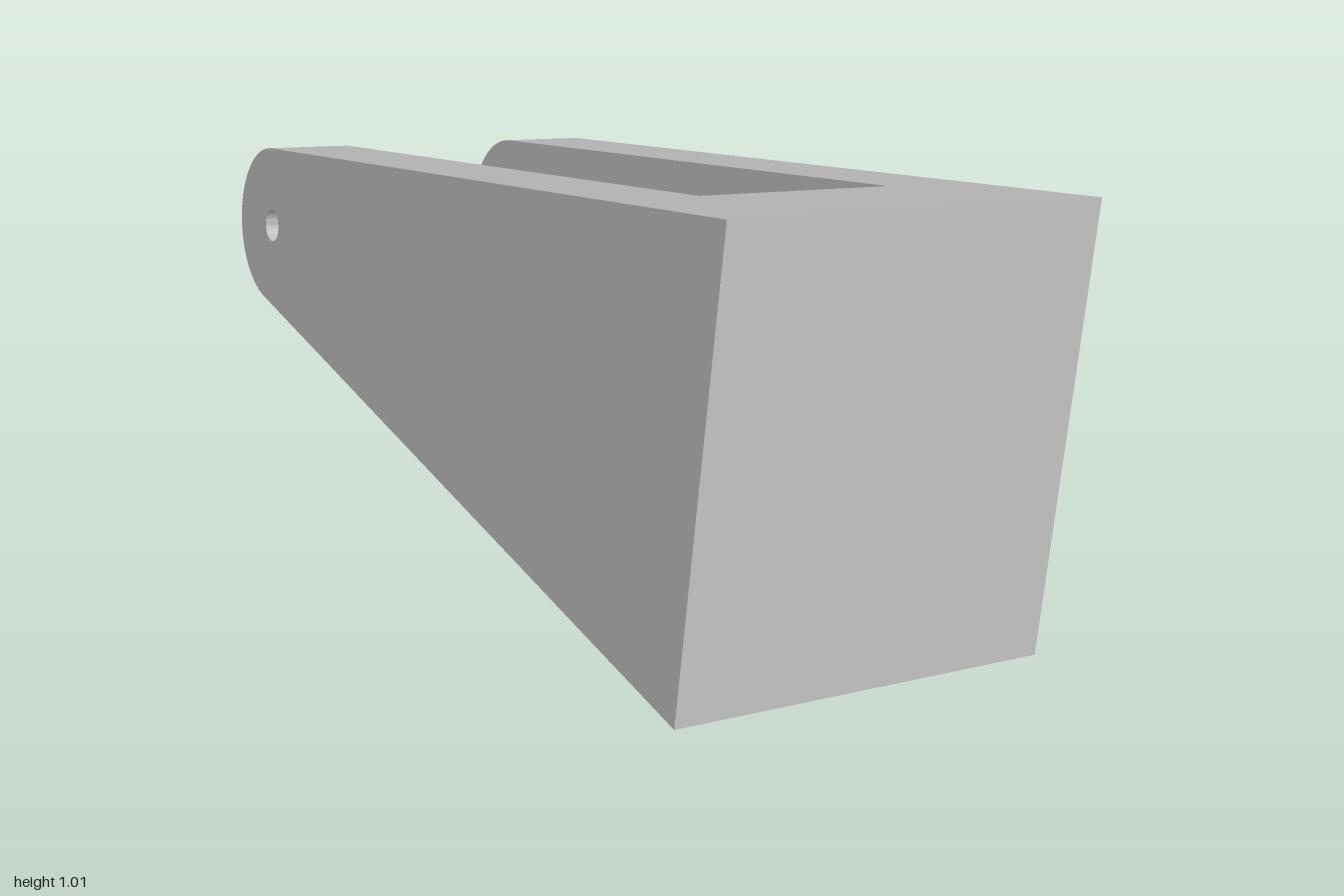
import * as THREE from 'three';
import { toCreasedNormals } from 'three/addons/utils/BufferGeometryUtils.js';

const WIDTH = 0.822, HALF_HEIGHT = 0.445, ARM = 0.195;
const PIVOT = -1.757, RADIUS = 0.178, HOLE = 0.036, BRIDGE = 0.358;
// taper of the sides so that they run tangent into the rounded tip
const TAPER = Math.atan2(HALF_HEIGHT, -PIVOT) - Math.asin(RADIUS / Math.hypot(HALF_HEIGHT, PIVOT));

// extrude a side profile (x = forward, y = up) across the width, centred on x = 0
function extrudeSide(shape, width) {
  const geo = new THREE.ExtrudeGeometry(shape, { depth: width, bevelEnabled: false, curveSegments: 32 });
  geo.translate(0, 0, -width / 2);
  geo.rotateY(-Math.PI / 2);
  return toCreasedNormals(geo, 0.4);
}

export function createModel() {
  const model = new THREE.Group();
  model.name = 'clevisBracket';
  const grey = new THREE.MeshStandardMaterial({ color: 0xbcbcbc });
  grey.name = 'plain grey';

  // tapered arm with rounded tip and pin hole
  const side = new THREE.Shape();
  side.moveTo(0, -HALF_HEIGHT);
  side.lineTo(0, HALF_HEIGHT);
  side.absarc(PIVOT, 0, RADIUS, Math.PI / 2 + TAPER, Math.PI * 1.5 - TAPER, false);
  side.closePath();
  const hole = new THREE.Path();
  hole.absarc(PIVOT, 0, HOLE, 0, Math.PI * 2, true);
  side.holes.push(hole);
  const armGeo = extrudeSide(side, ARM);

  const body = new THREE.Group();
  body.name = 'body';
  for (const s of [-1, 1]) {
    const arm = new THREE.Mesh(armGeo, grey);
    arm.name = s > 0 ? 'leftArm' : 'rightArm';
    arm.position.x = s * (WIDTH - ARM) / 2;
    body.add(arm);
  }

  // bridge joining the arms at the wide end
  const back = HALF_HEIGHT - BRIDGE * Math.tan(TAPER);
  const bridgeShape = new THREE.Shape([
    new THREE.Vector2(0, -HALF_HEIGHT), new THREE.Vector2(0, HALF_HEIGHT),
    new THREE.Vector2(-BRIDGE, back), new THREE.Vector2(-BRIDGE, -back),
  ]);
  const bridge = new THREE.Mesh(extrudeSide(bridgeShape, WIDTH - 2 * ARM), grey);
  bridge.name = 'bridge';
  body.add(bridge);

  // tilt the whole bracket: across, up and forward axes
  const across = new THREE.Vector3(0.811, -0.134, 0.025).normalize();
  const forward = across.clone().cross(new THREE.Vector3(0.148, 0.873, -0.088)).normalize();
  const up = forward.clone().cross(across);
  body.quaternion.setFromRotationMatrix(new THREE.Matrix4().makeBasis(across, up, forward));
  body.position.set(-0.001, 0.507, 0.942);
  model.add(body);
  return model;
}
